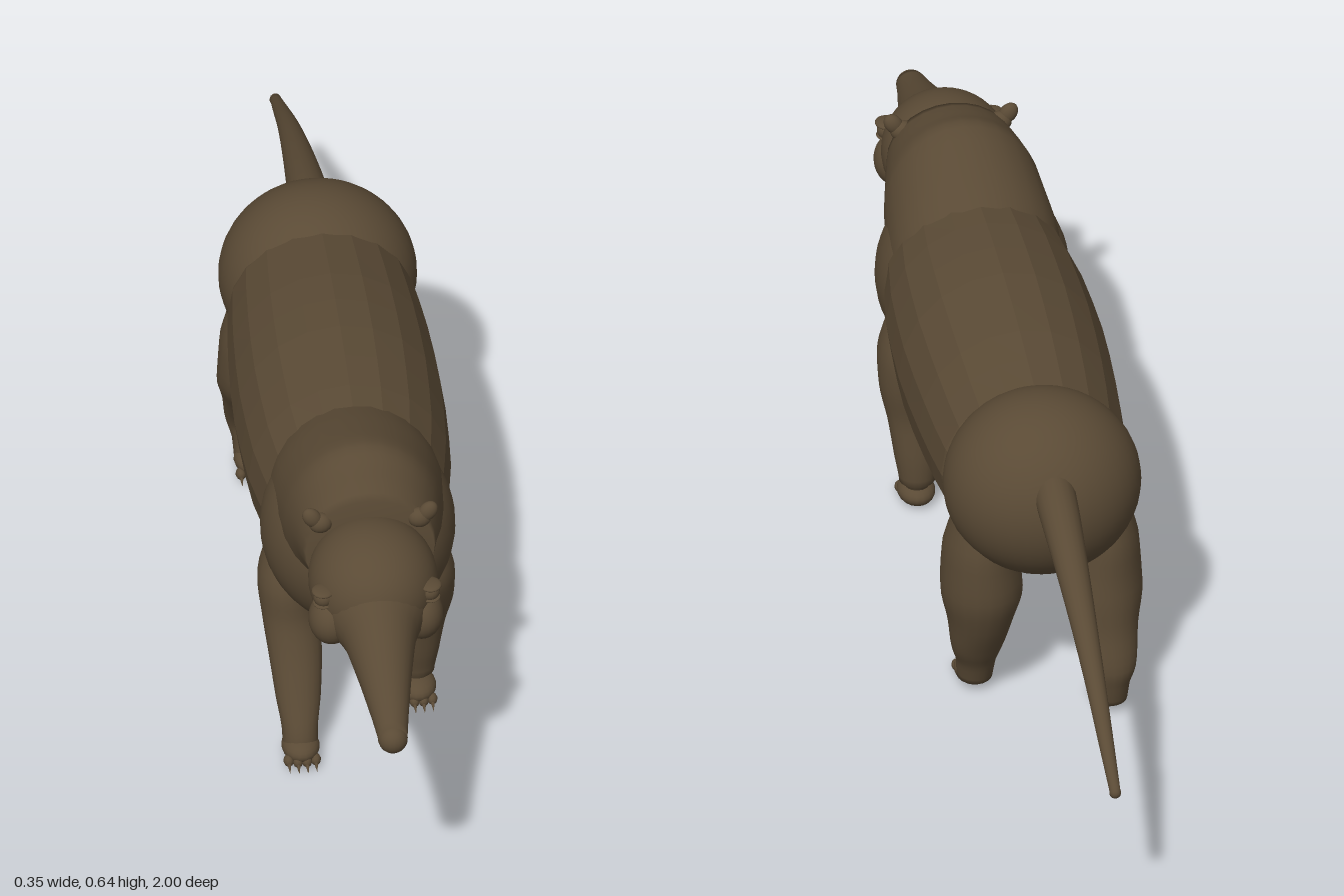
import * as THREE from 'three';

const brown = new THREE.MeshStandardMaterial({ color: 0x5a4a35 });
brown.name = 'brown fur';

function add(parent, name, geometry) {
  const mesh = new THREE.Mesh(geometry, brown);
  mesh.name = name;
  parent.add(mesh);
  return mesh;
}

function ball(parent, name, [x, y, z], [rx, ry, rz], detail = 24) {
  const mesh = add(parent, name, new THREE.SphereGeometry(1, detail, Math.ceil(detail * 0.7)));
  mesh.position.set(x, y, z);
  mesh.scale.set(rx, ry, rz);
  return mesh;
}

// Skin over oval sections [x, y, z, halfWidth, halfDepth].
// axis 'z': rings stand upright, listed back to front; axis 'y': rings lie flat, listed top to bottom.
function loft(rows, axis, sides = 24, steps = 4) {
  const centre = new THREE.CatmullRomCurve3(rows.map(r => new THREE.Vector3(r[0], r[1], r[2])));
  const radius = new THREE.CatmullRomCurve3(rows.map(r => new THREE.Vector3(r[3], r[4], 0)));
  const rings = (rows.length - 1) * steps;
  const pos = [], index = [];
  for (let i = 0; i <= rings; i++) {
    const c = centre.getPoint(i / rings), r = radius.getPoint(i / rings);
    for (let j = 0; j < sides; j++) {
      const a = (j / sides) * Math.PI * 2;
      const u = Math.cos(a) * r.x, v = Math.sin(a) * r.y;
      if (axis === 'z') pos.push(c.x + u, c.y + v, c.z);
      else pos.push(c.x + u, c.y, c.z + v);
    }
  }
  for (let i = 0; i < rings; i++) {
    for (let j = 0; j < sides; j++) {
      const k = (j + 1) % sides;
      const a = i * sides + j, b = i * sides + k;
      index.push(a, b, a + sides, b, b + sides, a + sides);
    }
  }
  // close both ends
  for (const [ring, flip] of [[0, true], [rings, false]]) {
    const c = centre.getPoint(ring / rings), hub = pos.length / 3;
    pos.push(c.x, c.y, c.z);
    for (let j = 0; j < sides; j++) {
      const a = ring * sides + j, b = ring * sides + (j + 1) % sides;
      index.push(hub, ...(flip ? [b, a] : [a, b]));
    }
  }
  const geo = new THREE.BufferGeometry();
  geo.setAttribute('position', new THREE.Float32BufferAttribute(pos, 3));
  geo.setIndex(index);
  geo.computeVertexNormals();
  return geo;
}

function faceted(geo) {
  const flat = geo.toNonIndexed();
  flat.computeVertexNormals();
  return flat;
}

// Leg with paw, toes and claws; rows run from hip to ankle.
function leg(parent, name, rows, footX, footZ) {
  const group = new THREE.Group();
  group.name = name;
  parent.add(group);
  add(group, 'limb', loft(rows, 'y', 20));
  ball(group, 'paw', [footX, 0.024, footZ], [0.032, 0.022, 0.042], 18);
  for (let i = 0; i < 4; i++) {
    const x = footX + (i - 1.5) * 0.015;
    const z = footZ + 0.034 - Math.abs(i - 1.5) * 0.004;
    ball(group, 'toe', [x, 0.013, z], [0.009, 0.01, 0.012], 10);
    const claw = add(group, 'claw', new THREE.ConeGeometry(0.0045, 0.024, 7));
    claw.position.set(x, 0.009, z + 0.016);
    claw.rotation.x = Math.PI / 2 + 0.25;
  }
}

export function createModel() {
  const model = new THREE.Group();
  model.name = 'longSnoutedAnimal';

  // Trunk
  add(model, 'torso', faceted(loft([
    [0, 0.42, -0.33, 0.12, 0.12],
    [0, 0.41, -0.21, 0.158, 0.158],
    [0, 0.411, -0.07, 0.171, 0.177],
    [0, 0.411, 0.09, 0.177, 0.188],
    [0, 0.415, 0.25, 0.17, 0.18],
    [0, 0.42, 0.38, 0.15, 0.165],
  ], 'z', 20, 2)));
  ball(model, 'rump', [0, 0.43, -0.285], [0.166, 0.16, 0.153], 40);
  ball(model, 'chest', [0, 0.41, 0.385], [0.163, 0.175, 0.167], 40);
  add(model, 'neck', loft([
    [0, 0.44, 0.26, 0.13, 0.135],
    [0, 0.46, 0.36, 0.145, 0.15],
    [0, 0.487, 0.47, 0.135, 0.157],
    [0, 0.505, 0.53, 0.122, 0.125],
    [0, 0.51, 0.595, 0.108, 0.1],
  ], 'z', 28));

  // Head and snout
  ball(model, 'skull', [0, 0.485, 0.64], [0.108, 0.1, 0.12], 36);
  add(model, 'snout', loft([
    [0, 0.477, 0.62, 0.1, 0.09],
    [0, 0.465, 0.7, 0.088, 0.082],
    [0, 0.452, 0.76, 0.062, 0.064],
    [0, 0.432, 0.85, 0.044, 0.044],
    [0, 0.414, 0.93, 0.031, 0.029],
    [0, 0.402, 0.98, 0.024, 0.023],
  ], 'z', 24));
  ball(model, 'nose', [0, 0.4, 0.975], [0.025, 0.025, 0.025], 20);
  add(model, 'jaw', loft([
    [0, 0.415, 0.55, 0.055, 0.028],
    [0, 0.412, 0.7, 0.055, 0.026],
    [0, 0.405, 0.85, 0.03, 0.018],
    [0, 0.399, 0.95, 0.018, 0.012],
  ], 'z', 18));

  for (const [s, side] of [[1, 'left'], [-1, 'right']]) {
    ball(model, side + 'Cheek', [s * 0.075, 0.445, 0.69], [0.038, 0.045, 0.045]);
    ball(model, side + 'Eye', [s * 0.089, 0.498, 0.702], [0.017, 0.017, 0.018], 18);
    ball(model, side + 'UpperLid', [s * 0.09, 0.511, 0.703], [0.019, 0.006, 0.021], 16);
    ball(model, side + 'LowerLid', [s * 0.09, 0.487, 0.703], [0.017, 0.004, 0.019], 16);
    ball(model, side + 'Ear', [s * 0.097, 0.581, 0.592], [0.015, 0.02, 0.012], 16).rotation.z = -s * 0.6;
    ball(model, side + 'EarBase', [s * 0.083, 0.568, 0.59], [0.02, 0.018, 0.016], 16);
  }

  // Tail
  add(model, 'tail', loft([
    [0, 0.263, -0.992, 0.009, 0.01],
    [0, 0.308, -0.9, 0.013, 0.014],
    [0, 0.357, -0.8, 0.017, 0.018],
    [0, 0.402, -0.69, 0.022, 0.023],
    [0, 0.442, -0.57, 0.028, 0.029],
    [0, 0.473, -0.45, 0.034, 0.036],
    [0, 0.485, -0.38, 0.036, 0.04],
  ], 'z', 18));
  ball(model, 'tailTip', [0, 0.263, -0.99], [0.01, 0.01, 0.01], 12);

  // Legs, caught in mid stride
  leg(model, 'leftFrontLeg', [
    [0.11, 0.36, 0.36, 0.035, 0.045],
    [0.115, 0.29, 0.355, 0.05, 0.066],
    [0.115, 0.23, 0.345, 0.05, 0.054],
    [0.107, 0.17, 0.335, 0.046, 0.038],
    [0.105, 0.1, 0.325, 0.038, 0.034],
    [0.105, 0.05, 0.32, 0.03, 0.028],
    [0.105, 0.02, 0.325, 0.03, 0.028],
  ], 0.105, 0.33);
  leg(model, 'rightFrontLeg', [
    [-0.11, 0.36, 0.34, 0.035, 0.045],
    [-0.115, 0.29, 0.355, 0.05, 0.064],
    [-0.112, 0.23, 0.375, 0.048, 0.05],
    [-0.107, 0.17, 0.405, 0.045, 0.04],
    [-0.105, 0.1, 0.44, 0.038, 0.036],
    [-0.105, 0.05, 0.468, 0.03, 0.03],
    [-0.105, 0.02, 0.475, 0.03, 0.028],
  ], -0.105, 0.478);
  leg(model, 'leftHindLeg', [
    [0.1, 0.38, -0.28, 0.045, 0.06],
    [0.103, 0.31, -0.272, 0.061, 0.082],
    [0.1, 0.23, -0.27, 0.069, 0.084],
    [0.102, 0.16, -0.268, 0.055, 0.064],
    [0.106, 0.1, -0.262, 0.043, 0.04],
    [0.105, 0.06, -0.245, 0.033, 0.035],
    [0.105, 0.02, -0.23, 0.03, 0.035],
  ], 0.105, -0.218);
  leg(model, 'rightHindLeg', [
    [-0.1, 0.38, -0.28, 0.045, 0.06],
    [-0.103, 0.31, -0.278, 0.061, 0.08],
    [-0.1, 0.23, -0.285, 0.069, 0.08],
    [-0.102, 0.16, -0.315, 0.055, 0.056],
    [-0.106, 0.09, -0.347, 0.042, 0.036],
    [-0.105, 0.055, -0.343, 0.033, 0.034],
    [-0.105, 0.02, -0.335, 0.03, 0.034],
  ], -0.105, -0.322);

  return model;
}
